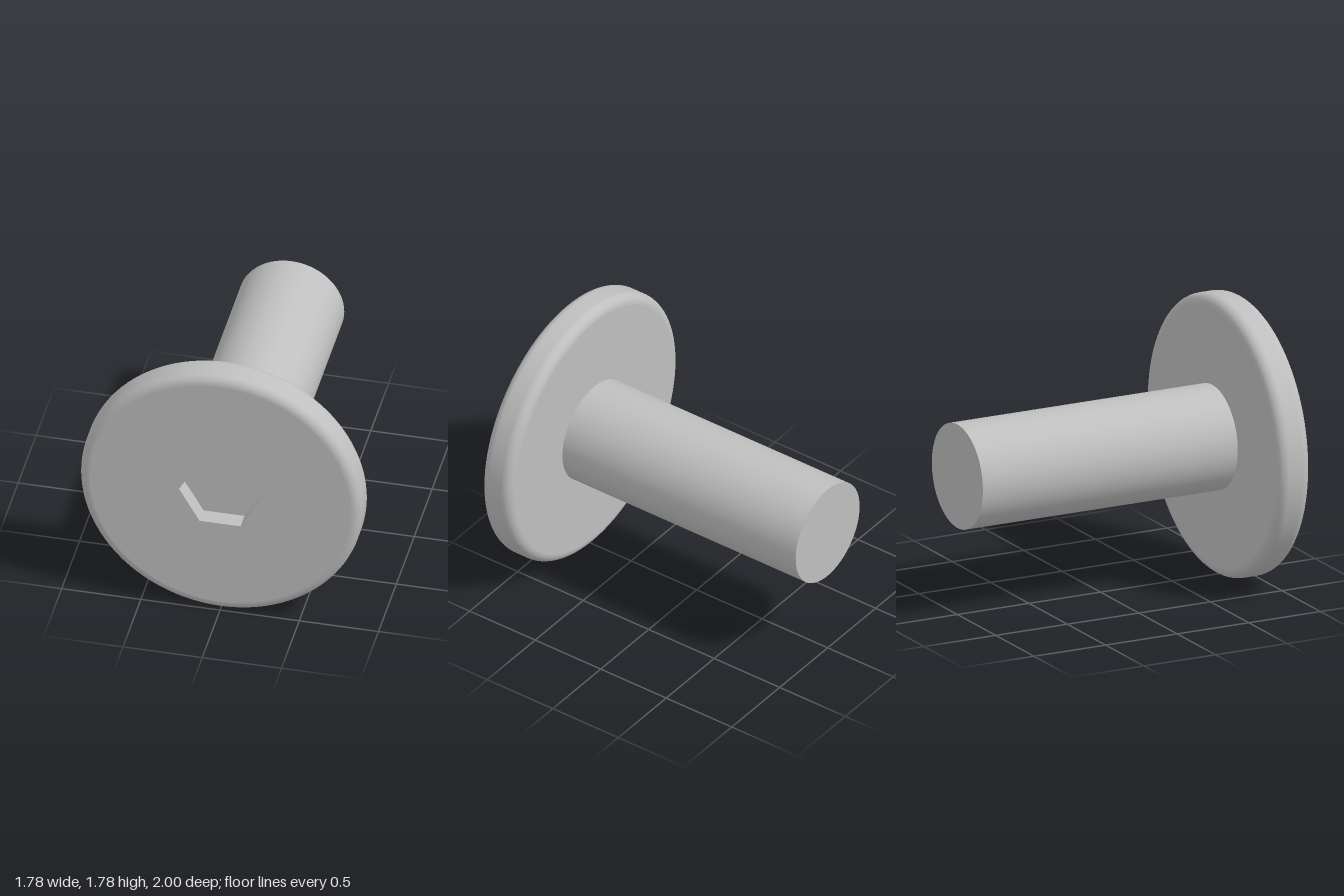
import * as THREE from 'three';

const SEG = 96;
const HEAD_R = 0.89, FILLET = 0.065, BACK = 0.78, FRONT = 1;
const SHAFT_R = 0.333, HEX_R = 0.259, HEX_DEPTH = 0.11;

export function createModel() {
  const steel = new THREE.MeshStandardMaterial({ color: 0xbfbfbf });
  steel.name = 'steel';
  const bolt = new THREE.Group();
  bolt.name = 'bolt';
  bolt.position.y = HEAD_R;

  const add = (name, geometry, z = 0) => {
    const mesh = new THREE.Mesh(geometry, steel);
    mesh.name = name;
    mesh.position.z = z;
    bolt.add(mesh);
  };

  const hexPoints = Array.from({ length: 6 }, (_, i) => {
    const a = (i * Math.PI) / 3;
    return new THREE.Vector2(HEX_R * Math.cos(a), HEX_R * Math.sin(a));
  });

  // Rounded rim of the head, swept around the bolt axis
  const faceR = HEAD_R - FILLET;
  const profile = [];
  for (const [centre, start] of [[BACK + FILLET, -Math.PI / 2], [FRONT - FILLET, 0]]) {
    for (let i = 0; i <= 8; i++) {
      const a = start + (i / 8) * Math.PI / 2;
      profile.push(new THREE.Vector2(faceR + FILLET * Math.cos(a), centre + FILLET * Math.sin(a)));
    }
  }
  add('headRim', new THREE.LatheGeometry(profile, SEG).rotateX(Math.PI / 2));

  // Flat front of the head with the hexagonal opening
  const face = new THREE.Shape().absarc(0, 0, faceR, 0, Math.PI * 2, false);
  face.holes.push(new THREE.Path(hexPoints.slice().reverse()));
  add('headFront', new THREE.ShapeGeometry(face, SEG / 2), FRONT);

  // Flat back of the head around the shaft
  add('headBack', new THREE.RingGeometry(SHAFT_R - 0.01, faceR, SEG).rotateY(Math.PI), BACK);

  // Inward-facing socket walls and floor
  const walls = new THREE.CylinderGeometry(HEX_R, HEX_R, HEX_DEPTH, 6, 1, true, Math.PI / 2)
    .rotateX(Math.PI / 2).scale(-1, 1, 1).toNonIndexed();
  walls.computeVertexNormals();
  add('socketWalls', walls, FRONT - HEX_DEPTH / 2);
  add('socketFloor', new THREE.ShapeGeometry(new THREE.Shape(hexPoints)), FRONT - HEX_DEPTH);

  // Plain cylindrical shaft
  const length = BACK + 1;
  add('shaft', new THREE.CylinderGeometry(SHAFT_R, SHAFT_R, length, SEG).rotateX(Math.PI / 2), BACK - length / 2);

  const model = new THREE.Group();
  model.name = 'model';
  model.add(bolt);
  return model;
}
